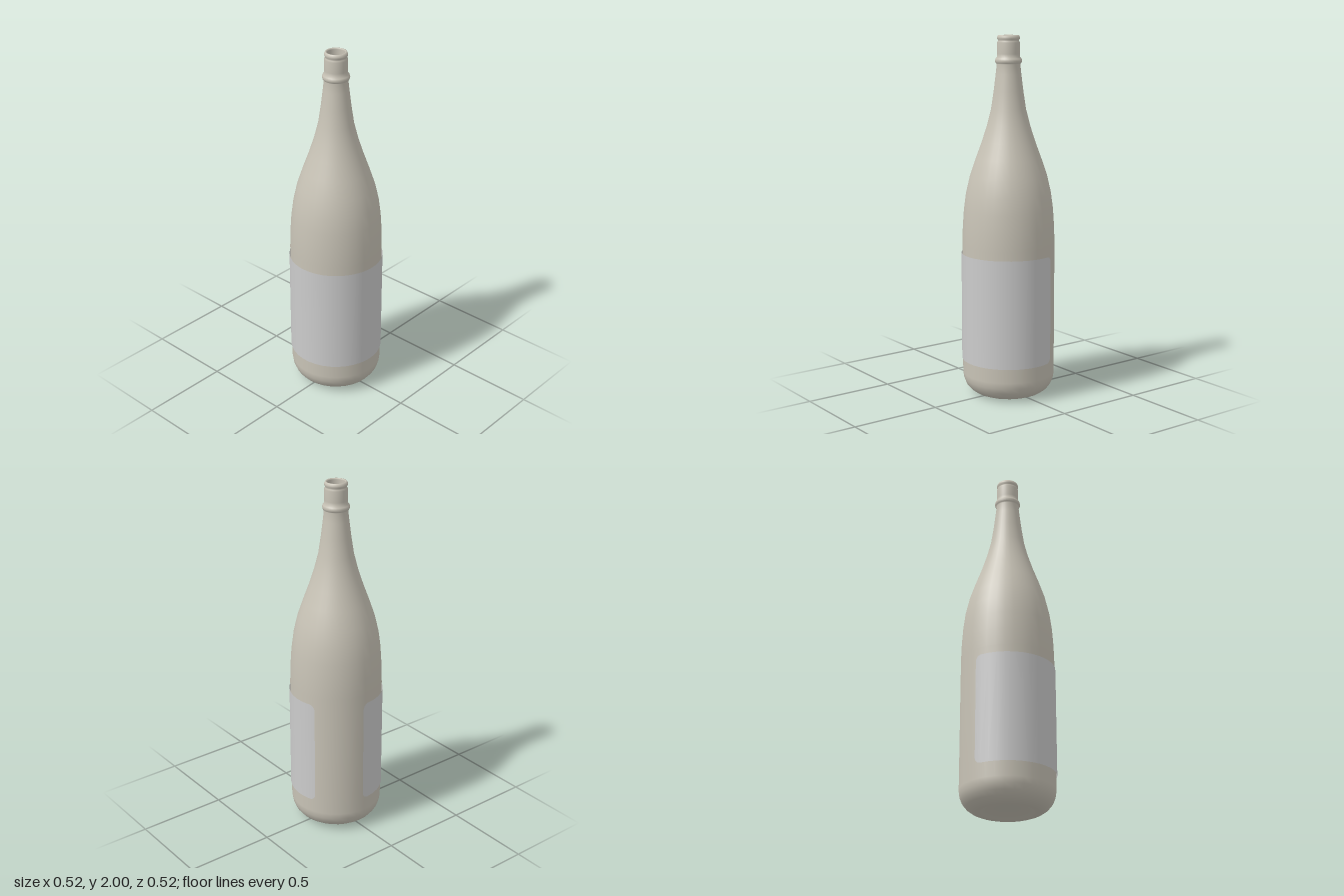
import * as THREE from 'three';

const SEGMENTS = 32;

// Turned glass shell: outside from the base centre up, then the bore back down
function createBottle() {
  const outer = [
    [0, 0.03], [0.06, 0.027], [0.11, 0.018], [0.14, 0.006], [0.155, 0.001], [0.17, 0.002],
    [0.195, 0.012], [0.22, 0.03], [0.24, 0.055], [0.252, 0.085], [0.257, 0.12],
    [0.257, 0.5], [0.257, 0.85], [0.254, 0.95], [0.247, 1.05], [0.235, 1.14],
    [0.213, 1.235], [0.181, 1.33], [0.148, 1.42], [0.119, 1.51], [0.096, 1.6],
    [0.081, 1.7], [0.07, 1.79], [0.064, 1.845],
    // collar ring
    [0.07, 1.85], [0.074, 1.862], [0.071, 1.874], [0.063, 1.882],
    // finish and lip
    [0.062, 1.9], [0.063, 1.96], [0.058, 1.968], [0.058, 1.975], [0.062, 1.981], [0.062, 1.99], [0.057, 2],
  ];
  const inner = [
    [0.051, 2], [0.048, 1.993], [0.048, 1.8], [0.07, 1.62], [0.13, 1.42], [0.19, 1.23],
    [0.23, 1.05], [0.24, 0.85], [0.24, 0.13], [0.2, 0.06], [0.1, 0.05], [0, 0.05],
  ];
  const profile = [...outer, ...inner].map(([r, y]) => new THREE.Vector2(r, y));
  const mesh = new THREE.Mesh(
    new THREE.LatheGeometry(profile, SEGMENTS),
    new THREE.MeshStandardMaterial({ color: 0xc8c3b6 })
  );
  mesh.name = 'bottle';
  return mesh;
}

// Wrapped paper sheet with rounded corners, leaving a gap at the rear
function createLabel() {
  const radius = 0.262, bottom = 0.2, top = 0.805, corner = 0.035;
  const start = THREE.MathUtils.degToRad(267), end = THREE.MathUtils.degToRad(565);
  const cornerAngle = corner / radius, steps = 6;

  // column angles, packed closer at the rounded ends
  const columns = [];
  for (let i = 0; i < steps; i++) columns.push([start + cornerAngle * (1 - Math.cos((i / steps) * Math.PI / 2)), i / steps]);
  for (let i = 0; i <= 28; i++) columns.push([THREE.MathUtils.lerp(start + cornerAngle, end - cornerAngle, i / 28), 1]);
  for (let i = steps - 1; i >= 0; i--) columns.push([end - cornerAngle * (1 - Math.cos((i / steps) * Math.PI / 2)), i / steps]);

  const geometry = new THREE.PlaneGeometry(1, 1, columns.length - 1, 1);
  const { position, normal } = geometry.attributes;
  for (let row = 0; row < 2; row++) {
    columns.forEach(([angle, t], i) => {
      const index = row * columns.length + i;
      const inset = corner * (1 - Math.sin(t * Math.PI / 2));
      const x = Math.sin(angle), z = Math.cos(angle);
      position.setXYZ(index, x * radius, row === 0 ? top - inset : bottom + inset, z * radius);
      normal.setXYZ(index, x, 0, z);
    });
  }
  const mesh = new THREE.Mesh(
    geometry,
    new THREE.MeshStandardMaterial({ color: 0xcccccc, side: THREE.DoubleSide })
  );
  mesh.name = 'label';
  return mesh;
}

export function createModel() {
  const group = new THREE.Group();
  group.name = 'labelledBottle';
  group.add(createBottle(), createLabel());
  return group;
}
